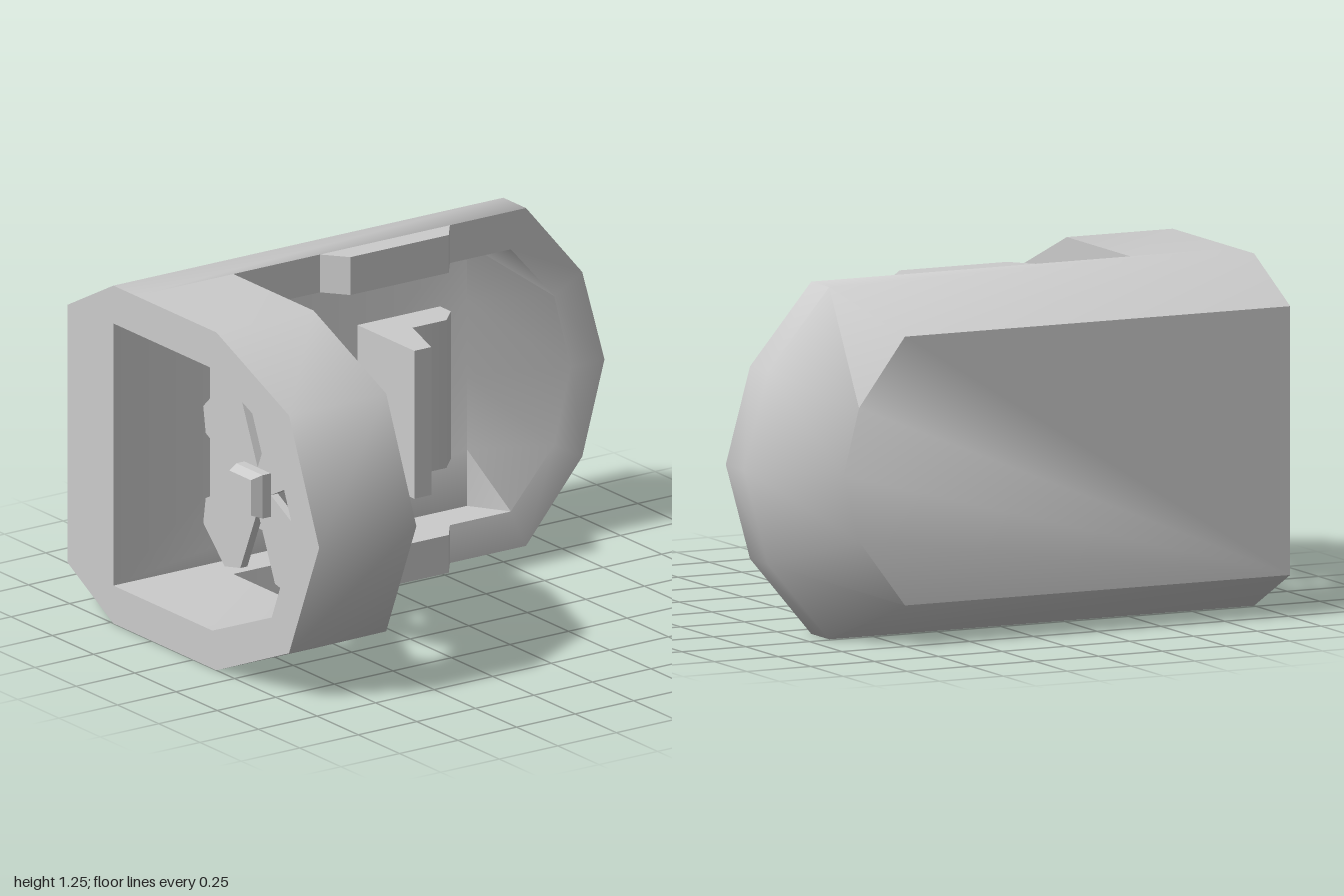
import * as THREE from 'three';
import { toCreasedNormals } from 'three/addons/utils/BufferGeometryUtils.js';

const MID_Y = 0.6225;
const CREASE = 0.9;
const material = new THREE.MeshStandardMaterial({ color: 0xcccccc });

function addMesh(parent, name, geometry, crease = CREASE) {
  const flat = geometry.index ? geometry.toNonIndexed() : geometry;
  const mesh = new THREE.Mesh(toCreasedNormals(flat, crease), material);
  mesh.name = name;
  parent.add(mesh);
  return mesh;
}

function extrude(points, depth) {
  const shape = new THREE.Shape(points.map(([a, b]) => new THREE.Vector2(a, b)));
  return new THREE.ExtrudeGeometry(shape, { depth, bevelEnabled: false });
}

// (z, y) profile extruded from xTop towards -x
const alongX = (points, depth, xTop) =>
  extrude(points, depth).rotateY(-Math.PI / 2).translate(xTop, 0, 0);

// (x, z) profile extruded from yTop downwards
const alongY = (points, depth, yTop) =>
  extrude(points, depth).rotateX(Math.PI / 2).translate(0, yTop, 0);

// Outline mirrored about the centre line, at one depth z; half is [x, half width]
function outline(half, z) {
  const lower = half.map(([x, w]) => [x, MID_Y - w, z]);
  const upper = half.slice().reverse().filter(([, w]) => w > 0).map(([x, w]) => [x, MID_Y + w, z]);
  return [...lower, ...upper];
}

// Hull: outlines lofted from the flat bottom up over the rim and down to the floor
function hullGeometry() {
  const outer = [[-1, 0.6225], [0.665, 0.6225], [0.905, 0.34], [1, 0]];
  const rings = [
    outline([[-1, 0.475], [0.51, 0.475], [0.69, 0.235], [0.75, 0]], -0.763),
    outline(outer, -0.485),
    outline(outer, -0.347),
    outline([[-1, 0.483], [0.6, 0.483], [0.785, 0.275], [0.855, 0]], -0.347),
    outline([[-1, 0.483], [0.51, 0.483], [0.51, 0.275], [0.51, 0]], -0.485),
  ];
  const pos = [];
  const tri = (a, b, c) => pos.push(...a, ...b, ...c);
  const quad = (a, b, c, d) => { tri(a, b, c); tri(a, c, d); };
  const last = rings[0].length - 1;
  for (let k = 0; k < rings.length - 1; k++) {
    const [a, b] = [rings[k], rings[k + 1]];
    for (let i = 0; i < last; i++) quad(a[i], a[i + 1], b[i + 1], b[i]);
  }
  const [bottom, mid, rim, inner, floor] = rings;
  for (let i = 1; i < last; i++) {
    tri(bottom[0], bottom[i + 1], bottom[i]);
    tri(floor[0], floor[i], floor[i + 1]);
  }
  // stern faces
  quad(bottom[last], bottom[0], mid[0], mid[last]);
  quad(mid[0], rim[0], inner[0], floor[0]);
  quad(floor[last], inner[last], rim[last], mid[last]);
  const geometry = new THREE.BufferGeometry();
  geometry.setAttribute('position', new THREE.Float32BufferAttribute(pos, 3));
  geometry.computeVertexNormals();
  return geometry;
}

export function createModel() {
  const model = new THREE.Group();
  model.name = 'hovercraft';
  addMesh(model, 'hull', hullGeometry());

  // Duct arch around the fan
  const arch = (half) => [
    ...half.map(([z, w]) => [z, MID_Y - w]),
    ...half.slice().reverse().filter(([, w]) => w > 0).map(([z, w]) => [z, MID_Y + w]),
  ];
  const outerArch = arch([[-0.347, 0.6225], [0.14, 0.6225], [0.58, 0.438], [0.763, 0]]);
  const innerArch = arch([[-0.347, 0.483], [0.115, 0.483], [0.475, 0.336], [0.615, 0]]);
  addMesh(model, 'fanDuct', alongX([...outerArch, ...innerArch.reverse()], 0.415, -0.585));

  // Raised pads on both side rims
  const pad = [[-0.215, -0.347], [0.34, -0.347], [0.275, -0.262], [-0.145, -0.262]];
  for (const [name, top] of [['leftRimPad', 1.245], ['rightRimPad', 0.1395]]) {
    addMesh(model, name, alongY(pad, 0.1395, top), 0.6);
  }

  // Two seats, the rear one raised on a taller base
  for (const [name, x, z] of [['rearSeat', -0.588, 0.07], ['frontSeat', 0.042, -0.14]]) {
    const profile = [
      [x, -0.485], [x + 0.353, -0.485], [x + 0.353, z - 0.28],
      [x + 0.285, z - 0.21], [x + 0.14, z - 0.21], [x + 0.073, z], [x, z],
    ];
    addMesh(model, name, alongY(profile, 0.545, 0.897));
  }

  // Fan: square hub with tapered ends and four flat blades
  const fan = new THREE.Group();
  fan.name = 'fan';
  fan.position.set(-0.79, MID_Y, 0.113);
  const hubProfile = [[0, -0.09], [0.092, -0.09], [0.113, -0.05], [0.113, 0.05], [0.092, 0.09], [0, 0.09]]
    .map(([r, h]) => new THREE.Vector2(r, h));
  const hub = new THREE.LatheGeometry(hubProfile, 4, Math.PI / 4).rotateZ(-Math.PI / 2);
  addMesh(fan, 'fanHub', hub, 0.3);
  const blade = [[0, 0], [0.08, 0], [0.315, 0.12], [0.33, 0.215], [0.2, 0.34], [0.105, 0.32], [0, 0.08]];
  for (let i = 0; i < 4; i++) {
    const mesh = addMesh(fan, 'fanBlade', alongX(blade, 0.03, 0.015), 0.3);
    mesh.rotation.x = (i * Math.PI) / 2;
    // keep each neighbouring blade a mirror image
    if (i % 2) mesh.geometry = toCreasedNormals(
      alongX(blade.map(([a, b]) => [b, a]).reverse(), 0.03, 0.015), 0.3);
  }
  model.add(fan);
  return model;
}
